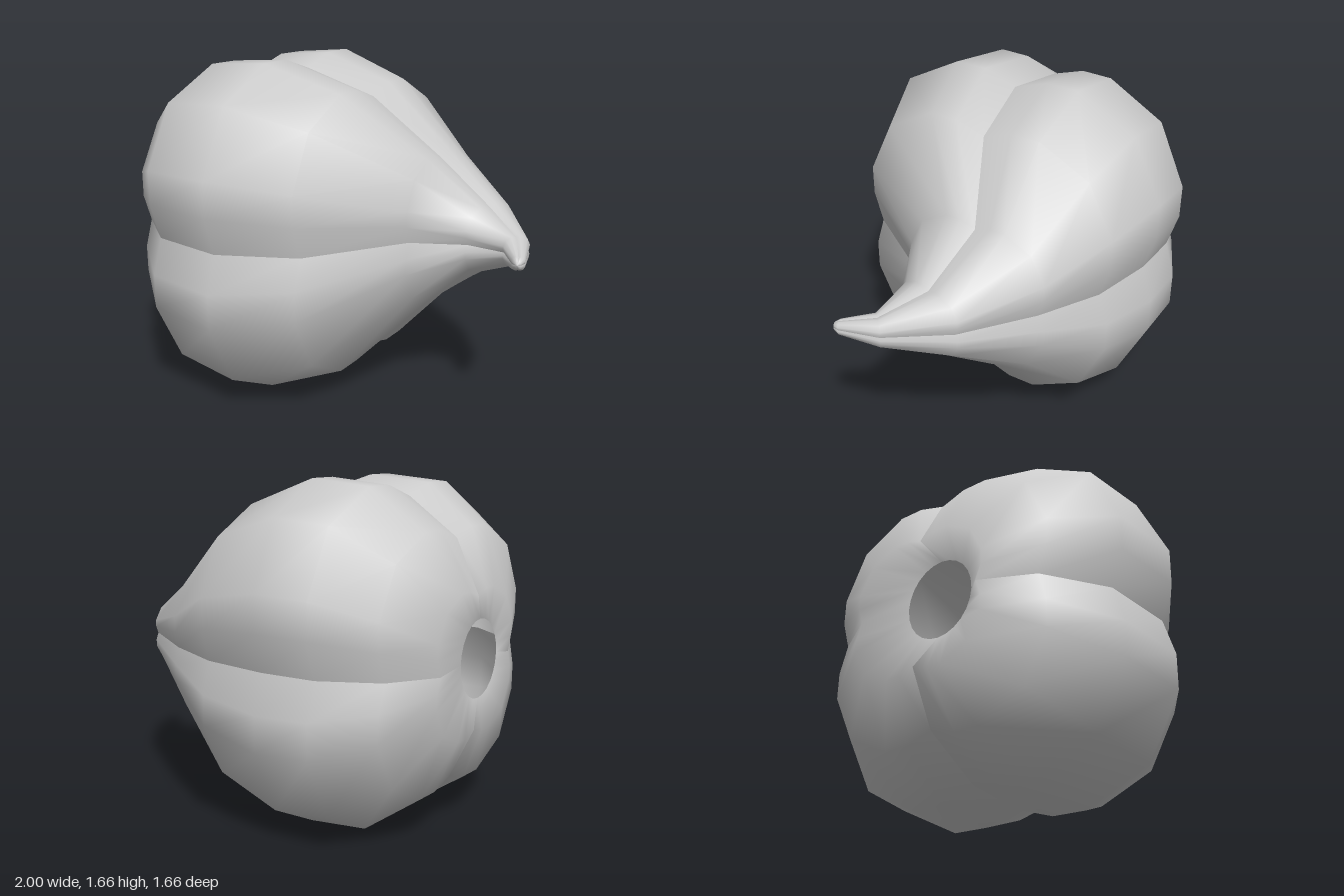
import * as THREE from 'three';

const MID = 0.83; // height of the central axis

// Cross-sections from base to tip: back edge x, z, front edge x, z, half height
const SECTIONS = [
  [-0.89, -0.22, -0.95, 0.13, 0.19], // rim of the base opening
  [-0.88, -0.50, -1.00, 0.20, 0.34],
  [-0.70, -0.72, -0.94, 0.48, 0.61],
  [-0.42, -0.83, -0.70, 0.73, 0.80],
  [-0.15, -0.81, -0.32, 0.83, 0.83],
  [0.18, -0.71, 0.06, 0.69, 0.70],
  [0.47, -0.51, 0.41, 0.23, 0.37],
  [0.78, -0.24, 0.67, 0.12, 0.16],
  [0.96, 0.05, 0.86, 0.14, 0.07],
  [1.0, 0.25, 0.94, 0.27, 0.032],
  [0.99, 0.28, 0.96, 0.287, 0.018],
  [0.975, 0.29, 0.975, 0.29, 0], // closed tip
];

// One lobe of the cross-section, from groove to groove
const LOBE = [[0, 0.93], [0.22, 1], [0.43, 1], [0.81, 0.81], [1, 0.43], [1, 0.22], [0.93, 0]];

// A quarter of the body; separate normals keep the grooves sharp
function lobeGeometry(quarter) {
  const positions = [], index = [], n = LOBE.length;
  SECTIONS.forEach(([bx, bz, fx, fz, h], row) => {
    LOBE.forEach(([a, b], j) => {
      if (row === 0) { // the rim is nearly round
        const angle = (j / (n - 1)) * Math.PI / 2;
        a = Math.sin(angle);
        b = Math.cos(angle);
      }
      let s = a, t = b;
      for (let q = 0; q < quarter; q++) [s, t] = [t, -s];
      positions.push(
        (bx + fx) / 2 + (fx - bx) / 2 * s,
        MID + h * t,
        (bz + fz) / 2 + (fz - bz) / 2 * s
      );
      if (row < SECTIONS.length - 1 && j < n - 1) {
        const p = row * n + j;
        index.push(p, p + 1, p + n, p + 1, p + n + 1, p + n);
      }
    });
  });
  const geometry = new THREE.BufferGeometry();
  geometry.setAttribute('position', new THREE.Float32BufferAttribute(positions, 3));
  geometry.setIndex(index);
  geometry.computeVertexNormals();
  return geometry;
}

export function createModel() {
  const group = new THREE.Group();
  group.name = 'lobedBulb';
  const material = new THREE.MeshStandardMaterial({ color: 0xcccccc, side: THREE.DoubleSide });
  const names = ['upperFrontLobe', 'lowerFrontLobe', 'lowerBackLobe', 'upperBackLobe'];
  names.forEach((name, quarter) => {
    const mesh = new THREE.Mesh(lobeGeometry(quarter), material);
    mesh.name = name;
    group.add(mesh);
  });
  return group;
}
